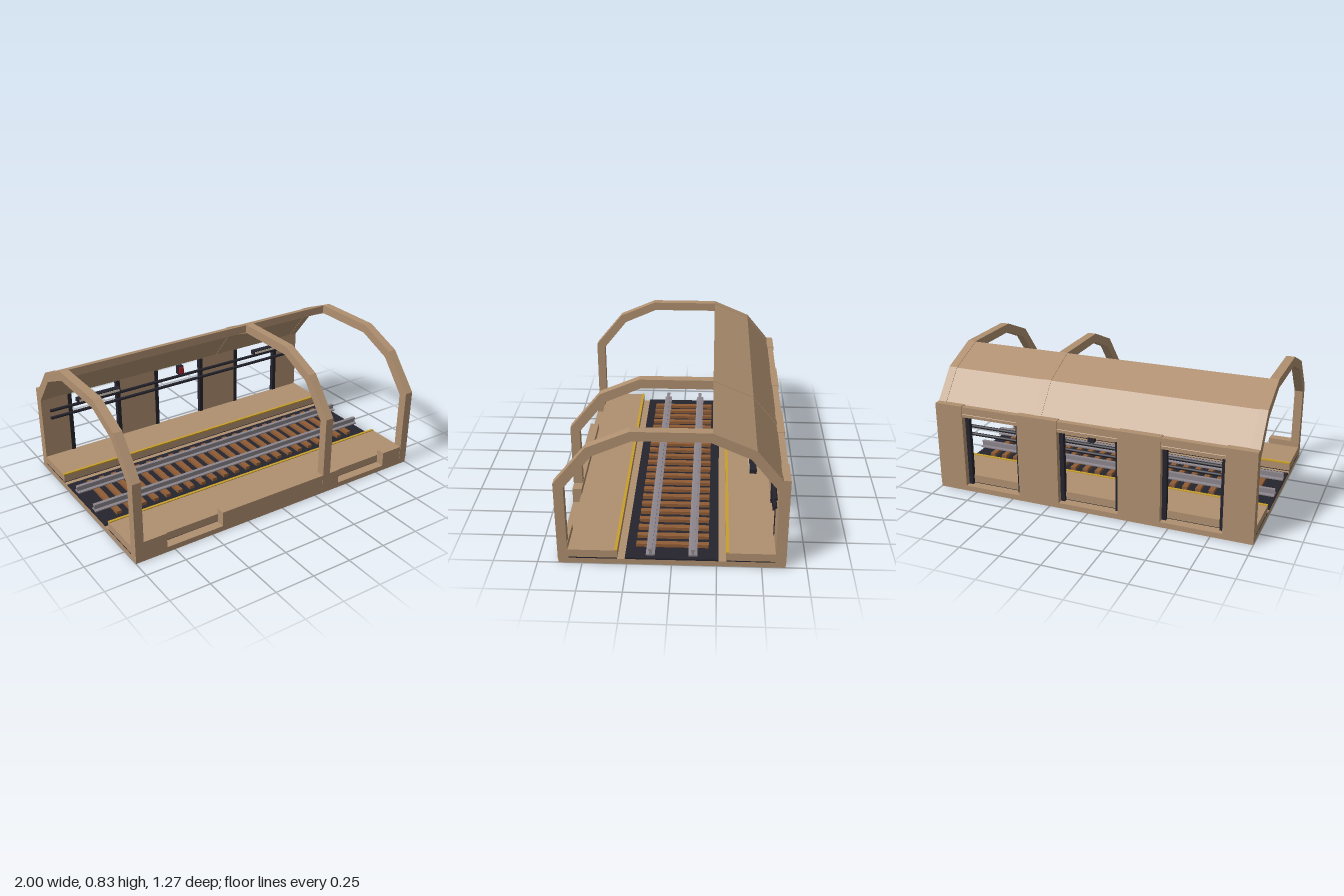
import * as THREE from 'three';

const mat = (color) => new THREE.MeshStandardMaterial({ color });

export function createModel() {
  const model = new THREE.Group();
  const stone = mat(0xb09070), dark = mat(0x25242e), wood = mat(0x8f5c36);
  const steel = mat(0x8c868c), yellow = mat(0xc89f2c), red = mat(0xb8202a), lamp = mat(0xe0d6c4);

  const add = (name, geometry, material, parent = model) => {
    const mesh = new THREE.Mesh(geometry, material);
    mesh.name = name;
    parent.add(mesh);
    return mesh;
  };
  // Box given by its limits along each axis
  const box = (name, x0, x1, y0, y1, z0, z1, material, parent) => {
    const mesh = add(name, new THREE.BoxGeometry(x1 - x0, y1 - y0, z1 - z0), material, parent);
    mesh.position.set((x0 + x1) / 2, (y0 + y1) / 2, (z0 + z1) / 2);
    return mesh;
  };
  // Profile of [z, y] points, extruded along x
  const extrudeX = (name, points, x0, x1, material, parent) => {
    const shape = new THREE.Shape(points.map(([z, y]) => new THREE.Vector2(-z, y)));
    const geometry = new THREE.ExtrudeGeometry(shape, { depth: x1 - x0, bevelEnabled: false });
    geometry.rotateY(Math.PI / 2).translate(x0, 0, 0);
    return add(name, geometry, material, parent);
  };
  const group = (name) => {
    const g = new THREE.Group();
    g.name = name;
    model.add(g);
    return g;
  };

  // Floor slab and track bed
  box('floorSlab', -1, 1, 0, 0.033, -0.633, 0.633, stone);
  box('trackBed', -1, 1, 0.033, 0.043, -0.26, 0.26, dark);

  // Arched ribs
  const mirrorZ = (half) => [...half, ...half.slice().reverse().map(([z, y]) => [-z, y])];
  const outer = [[0.635, 0.03], [0.635, 0.51], [0.45, 0.735], [0.215, 0.835]];
  const inner = [[0.58, 0.03], [0.58, 0.485], [0.42, 0.685], [0.205, 0.78]];
  const ribProfile = [...mirrorZ(outer), ...mirrorZ(inner).reverse()];
  const ribs = group('ribs');
  for (const [x0, x1] of [[-1, -0.947], [0.305, 0.358], [0.947, 1]])
    extrudeX('rib', ribProfile, x0, x1, stone, ribs);

  // Roof shell over the rear half
  extrudeX('roof', [
    [-0.215, 0.832], [-0.449, 0.732], [-0.632, 0.509],
    [-0.58, 0.488], [-0.42, 0.688], [-0.215, 0.782],
  ], -0.947, 0.947, stone);

  // Rear wall: piers, lintels and dark door jambs
  const wall = group('rearWall');
  for (const [x0, x1] of [[-1, -0.82], [-0.45, -0.19], [0.19, 0.45], [0.82, 1]])
    box('pier', x0, x1, 0.033, 0.56, -0.635, -0.575, stone, wall);
  for (const x of [-0.635, 0, 0.635]) {
    const w = x === 0 ? 0.19 : 0.185;
    box('lintel', x - w, x + w, 0.49, 0.556, -0.63, -0.577, stone, wall);
    for (const s of [-1, 1])
      box('doorJamb', x + s * (w - 0.013) - 0.013, x + s * (w - 0.013) + 0.013,
        0.033, 0.49, -0.6, -0.571, dark, wall);
  }

  // Low front wall with two gaps
  const parapet = group('frontWall');
  for (const [x0, x1] of [[-0.998, -0.8], [-0.43, 0.43], [0.8, 0.998]])
    box('frontWallSection', x0, x1, 0.033, 0.126, 0.577, 0.633, stone, parapet);

  // Platforms with yellow edge lines
  for (const s of [-1, 1]) {
    const g = group(s > 0 ? 'frontPlatform' : 'rearPlatform');
    const slab = box('platform', -1, 1, 0.039, 0.088, 0.302, 0.58, stone, g);
    const base = box('platformBase', -1, 1, 0.033, 0.04, 0.305, 0.575, dark, g);
    const edge = box('edgeLine', -1, 1, 0.084, 0.093, 0.301, 0.318, yellow, g);
    for (const m of [slab, base, edge]) m.position.z *= s;
  }

  // Sleepers and rails
  const track = group('track');
  for (let i = 0; i < 22; i++) {
    const x = -0.878 + i * 0.0836;
    box('sleeper', x - 0.0165, x + 0.0165, 0.043, 0.063, -0.205, 0.205, wood, track);
  }
  const railHalf = [[0.025, 0.062], [0.025, 0.069], [0.006, 0.072], [0.006, 0.092], [0.011, 0.094], [0.011, 0.104]];
  for (const z of [-0.118, 0.118])
    extrudeX('rail', mirrorZ(railHalf).map(([a, y]) => [a + z, y]), -1, 1, steel, track);

  // Pipes along the rear wall
  for (const y of [0.36, 0.412]) {
    const pipe = add('pipe', new THREE.CylinderGeometry(0.01, 0.01, 1.896, 12), dark);
    pipe.rotation.z = Math.PI / 2;
    pipe.position.set(0, y, -0.562);
  }

  // Hanging strip lights
  for (const x of [-0.667, 0.667]) {
    const light = group('stripLight');
    box('lightHousing', x - 0.148, x + 0.148, 0.491, 0.516, -0.46, -0.421, dark, light);
    box('lightPanel', x - 0.14, x + 0.14, 0.496, 0.511, -0.424, -0.419, lamp, light);
  }

  // Alarm box on the wall
  const alarm = group('alarmBox');
  box('alarmBody', -0.02, 0.02, 0.432, 0.49, -0.575, -0.54, dark, alarm);
  box('alarmFace', -0.017, 0.017, 0.437, 0.485, -0.542, -0.536, red, alarm);

  return model;
}
